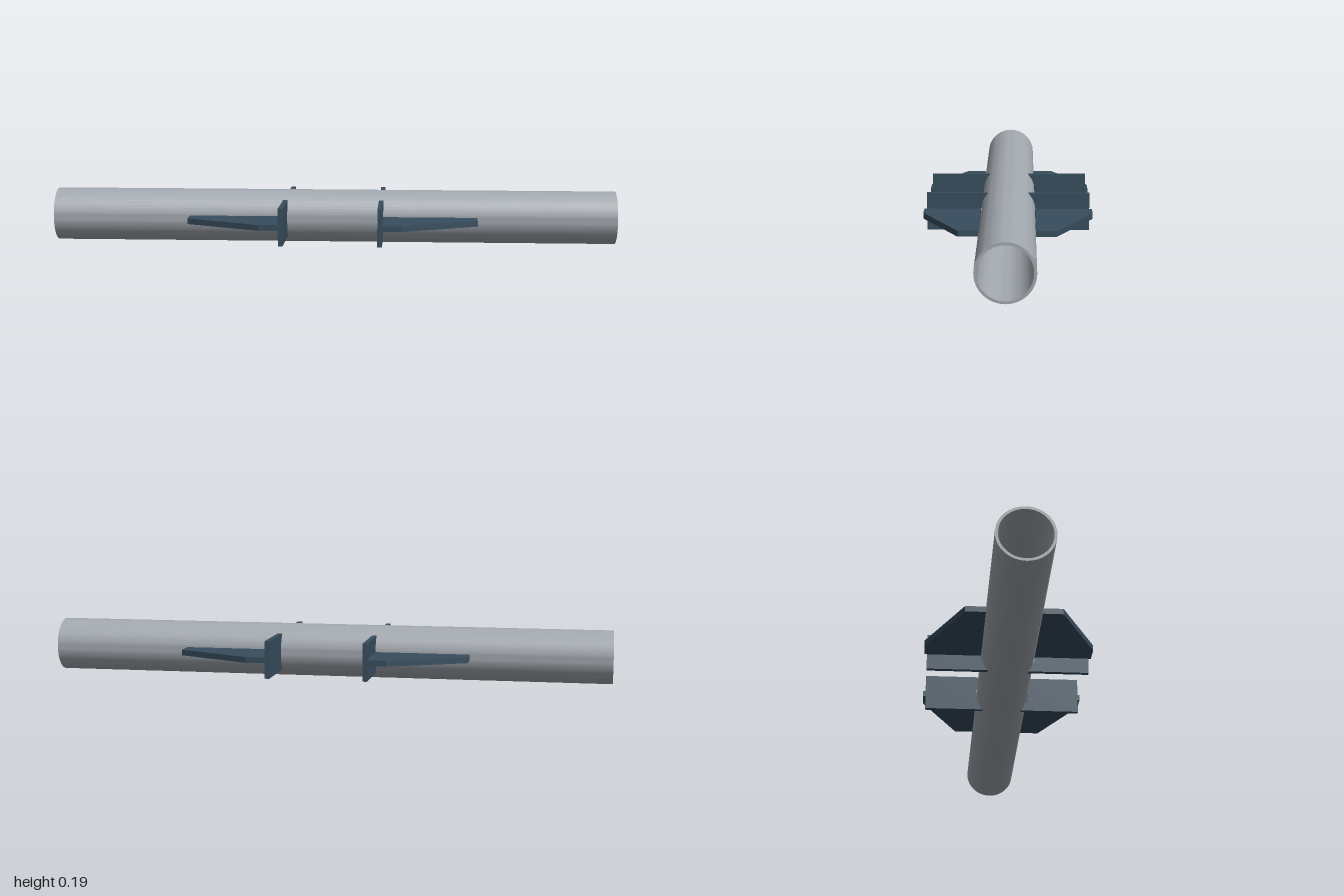
import * as THREE from 'three';
import { toCreasedNormals } from 'three/addons/utils/BufferGeometryUtils.js';

const R = 0.0935;        // pipe outer radius, also the height of its axis
const WALL = 0.009;
const SADDLE = 0.0955;   // radius of the saddle cut in the plates

const pipeMaterial = new THREE.MeshStandardMaterial({ color: 0xa3a9b0 });
const steelMaterial = new THREE.MeshStandardMaterial({ color: 0x374d5e });

function mesh(name, geometry, material) {
  const m = new THREE.Mesh(geometry, material);
  m.name = name;
  return m;
}

// Extrude a shape with its thickness centred on the shape plane
function slab(shape, thickness) {
  const g = new THREE.ExtrudeGeometry(shape, { depth: thickness, bevelEnabled: false, curveSegments: 24 });
  return g.translate(0, 0, -thickness / 2);
}

// Open hollow pipe along x
function pipeGeometry() {
  const r = R - WALL;
  const profile = [[r, -1], [R, -1], [R, 1], [r, 1], [r, -1]].map(([x, y]) => new THREE.Vector2(x, y));
  return toCreasedNormals(new THREE.LatheGeometry(profile, 64), 0.6).rotateZ(-Math.PI / 2);
}

// Cross plate with a curved edge seated on the pipe
function plateGeometry() {
  const h = 0.065, a = Math.asin(h / SADDLE);
  const shape = new THREE.Shape();
  shape.moveTo(SADDLE * Math.cos(a), -h);
  shape.lineTo(0.282, -h);
  shape.lineTo(0.282, h);
  shape.lineTo(SADDLE * Math.cos(a), h);
  shape.absarc(0, 0, SADDLE, a, -a, true);
  return slab(shape, 0.016).rotateY(-Math.PI / 2).translate(0.17, 0, 0);
}

// Horizontal tapered gusset behind the plate
function gussetGeometry() {
  const outline = [[0.178, 0.094], [0.508, 0.094], [0.508, 0.162], [0.245, 0.291], [0.178, 0.291]];
  const shape = new THREE.Shape(outline.map(([x, y]) => new THREE.Vector2(x, y)));
  return slab(shape, 0.02).rotateX(Math.PI / 2);
}

export function createModel() {
  const model = new THREE.Group();
  model.name = 'pipeWithBrackets';

  const body = new THREE.Group();
  body.name = 'assembly';
  body.position.y = R;
  model.add(body);
  body.add(mesh('pipe', pipeGeometry(), pipeMaterial));

  // Four brackets: half turns about each axis give the mirrored copies
  const plate = plateGeometry(), gusset = gussetGeometry();
  const turns = {
    frontLeft: [0, 0, 0],
    backLeft: [Math.PI, 0, 0],
    backRight: [0, Math.PI, 0],
    frontRight: [0, 0, Math.PI],
  };
  for (const [side, turn] of Object.entries(turns)) {
    const bracket = new THREE.Group();
    bracket.name = side + 'Bracket';
    bracket.add(mesh('crossPlate', plate, steelMaterial), mesh('gusset', gusset, steelMaterial));
    bracket.rotation.set(...turn);
    body.add(bracket);
  }
  return model;
}
